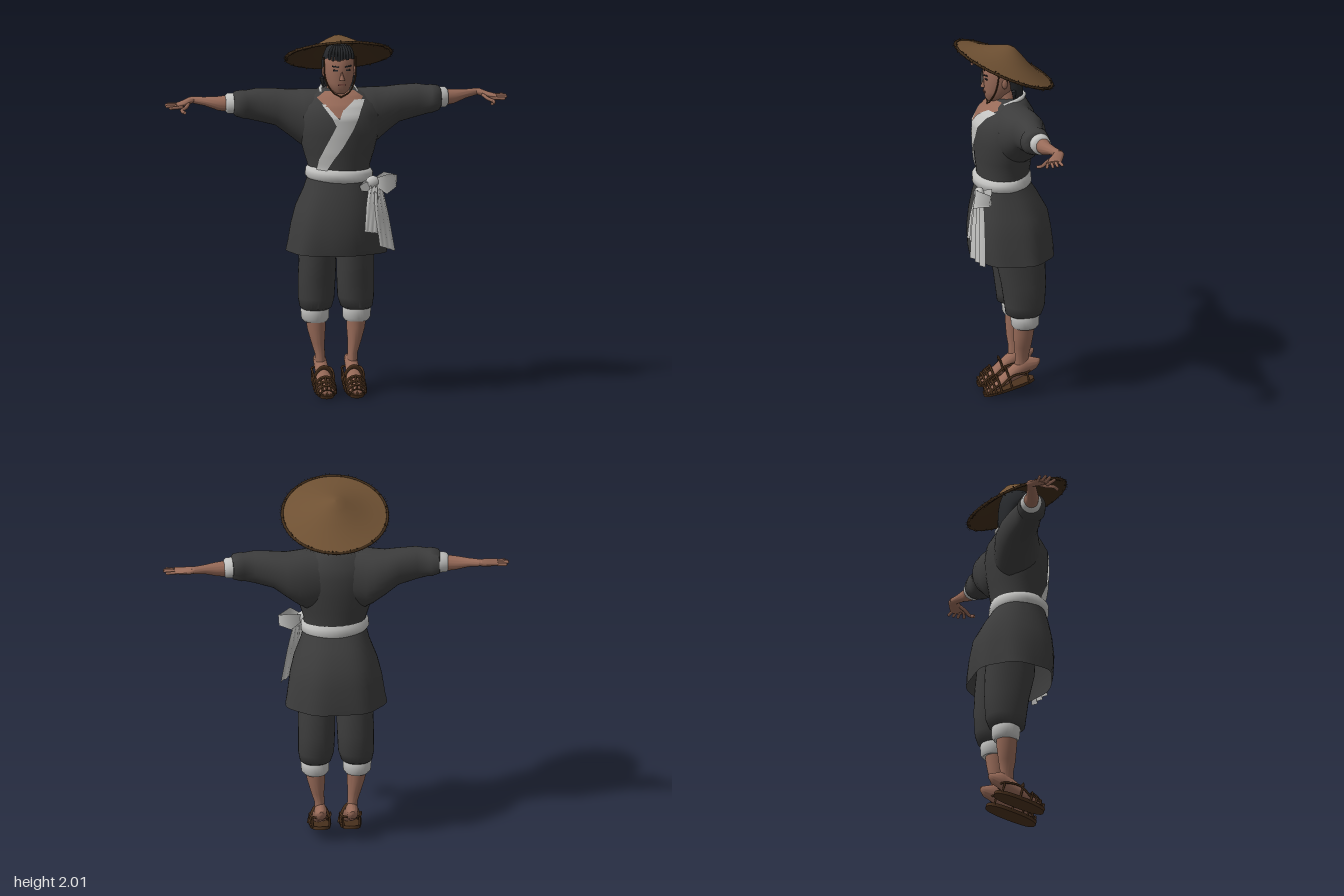
import * as THREE from 'three';
import { mergeGeometries, toCreasedNormals } from 'three/addons/utils/BufferGeometryUtils.js';

const V = (x, y, z) => new THREE.Vector3(x, y, z);
const mat = (name, color, side = THREE.FrontSide) => {
  const m = new THREE.MeshStandardMaterial({ color, side });
  m.name = name;
  return m;
};

// Closed skin over elliptical sections [t, uMin, uMax, vMin, vMax] along an axis.
const PLANES = { x: ['y', 'z'], y: ['z', 'x'], z: ['x', 'y'] };
function loft(axis, rows, { p = 1, ripple = 0, open = false, segs = 32 } = {}) {
  const secs = [...rows].sort((a, b) => a[0] - b[0]);
  const [u, v] = PLANES[axis], pos = [], idx = [], n = secs.length;
  const put = (t, a, b) => { const q = V(0, 0, 0); q[axis] = t; q[u] = a; q[v] = b; pos.push(q.x, q.y, q.z); };
  const pw = (c) => Math.sign(c) * Math.abs(c) ** p;
  secs.forEach(([t, u0, u1, v0, v1], i) => {
    for (let j = 0; j < segs; j++) {
      const a = (j / segs) * Math.PI * 2;
      const k = 1 + ripple * Math.sin(7 * a + 1) * (1 - i / (n - 1));
      put(t, (u0 + u1) / 2 + k * pw(Math.cos(a)) * (u1 - u0) / 2, (v0 + v1) / 2 + k * pw(Math.sin(a)) * (v1 - v0) / 2);
    }
  });
  for (let i = 0; i < n - 1; i++) for (let j = 0; j < segs; j++) {
    const a = i * segs + j, b = i * segs + (j + 1) % segs;
    idx.push(a, b, a + segs, b, b + segs, a + segs);
  }
  if (!open) for (const i of [0, n - 1]) {
    const [t, u0, u1, v0, v1] = secs[i], c = pos.length / 3;
    put(t, (u0 + u1) / 2, (v0 + v1) / 2);
    for (let j = 0; j < segs; j++) {
      const a = i * segs + j, b = i * segs + (j + 1) % segs;
      idx.push(c, ...(i ? [a, b] : [b, a]));
    }
  }
  const g = new THREE.BufferGeometry();
  g.setAttribute('position', new THREE.Float32BufferAttribute(pos, 3));
  g.setIndex(idx);
  return toCreasedNormals(g, 0.95);
}
// Upright loft from rows [y, centreX, halfWidth, zFront, zBack].
const upright = (rows, opt) => loft('y', rows.map(([y, cx, w, zf, zb]) => [y, zb, zf, cx - w, cx + w]), opt);

// Cloth strip between pairs of edge points; warp may move each point.
function strip(rows, across = 6, warp = (q) => q) {
  const pos = [], idx = [], w = across + 1;
  rows.forEach(([a, b]) => {
    for (let j = 0; j <= across; j++) pos.push(...warp(V(...a).lerp(V(...b), j / across), j).toArray());
  });
  for (let i = 0; i < rows.length - 1; i++) for (let j = 0; j < across; j++) {
    const a = i * w + j;
    idx.push(a, a + w, a + 1, a + 1, a + w, a + w + 1);
  }
  const g = new THREE.BufferGeometry();
  g.setAttribute('position', new THREE.Float32BufferAttribute(pos, 3));
  g.setIndex(idx);
  g.computeVertexNormals();
  return g;
}
const tube = (pts, r, n = 12) => new THREE.TubeGeometry(new THREE.CatmullRomCurve3(pts.map((q) => V(...q))), n, r, 6);

const TORSO = [[1.19, 0, 0.175, 0.15, -0.13], [1.28, 0, 0.17, 0.15, -0.14], [1.36, 0, 0.195, 0.16, -0.15],
  [1.46, 0, 0.22, 0.165, -0.165], [1.56, 0, 0.23, 0.165, -0.17], [1.62, 0, 0.21, 0.13, -0.16],
  [1.67, 0, 0.16, 0.08, -0.13], [1.70, 0, 0.09, 0.03, -0.11]];
// Chest surface depth at (x, y).
function chestZ(x, y) {
  let i = 0;
  while (i < TORSO.length - 2 && TORSO[i + 1][0] < y) i++;
  const a = TORSO[i], b = TORSO[i + 1], k = (y - a[0]) / (b[0] - a[0]);
  const [w, zf, zb] = [2, 3, 4].map((c) => a[c] + (b[c] - a[c]) * k);
  return (zf + zb) / 2 + (zf - zb) / 2 * Math.sqrt(Math.max(0, 1 - (x / w) ** 2));
}
// Thin cloth lying on the chest, rows [y, xLeft, xRight].
function chestPatch(rows, lift) {
  const fine = [];
  for (let i = 0; i < rows.length - 1; i++) for (let k = 0; k < 5; k++)
    fine.push(rows[i].map((c, m) => c + (rows[i + 1][m] - c) * k / 5));
  fine.push(rows.at(-1));
  return strip(fine.map(([y, a, b]) => [[a, y, 0], [b, y, 0]]), 10, (q) => q.setZ(chestZ(q.x, q.y) + lift));
}

export function createModel() {
  const model = new THREE.Group();
  model.name = 'travellerFigure';
  const D = THREE.DoubleSide;
  const cloth = mat('charcoalCloth', 0x3c3c3c, D), linen = mat('paleLinen', 0xc2c2c0, D), skin = mat('skin', 0x976a58, D),
    hair = mat('blackHair', 0x26282b), straw = mat('straw', 0x6f5133), strawDark = mat('darkStraw', 0x3f2c19, D),
    leather = mat('sandalBrown', 0x4a311d, D), lip = mat('lipBrown', 0x784a40);
  const add = (parent, name, geo, m, pos = [0, 0, 0], rot = [0, 0, 0]) => {
    const mesh = new THREE.Mesh(geo, m);
    mesh.name = name;
    mesh.position.set(...pos);
    mesh.rotation.set(...rot);
    parent.add(mesh);
    return mesh;
  };

  // Jacket body, skirt and neckline
  add(model, 'jacketBody', upright(TORSO), cloth);
  add(model, 'jacketSkirt', upright([[1.24, 0, 0.165, 0.14, -0.12], [1.15, 0, 0.188, 0.17, -0.18], [1.05, 0, 0.228, 0.19, -0.235],
    [0.95, 0, 0.252, 0.2, -0.252], [0.85, 0, 0.266, 0.195, -0.262], [0.8, 0, 0.275, 0.185, -0.262]],
  { p: 0.88, ripple: 0.025, open: true, segs: 56 }), cloth);
  add(model, 'bareChest', chestPatch([[1.69, -0.08, 0.08], [1.66, -0.13, 0.125], [1.62, -0.09, 0.08], [1.56, -0.035, 0.03]], 0.005), skin);
  add(model, 'innerCollar', chestPatch([[1.63, -0.11, -0.09], [1.56, -0.06, -0.03], [1.52, -0.04, 0.02]], 0.006), linen);
  add(model, 'lapel', chestPatch([[1.65, 0.07, 0.135], [1.6, 0.0, 0.105], [1.5, -0.05, 0.06], [1.4, -0.1, 0.0],
    [1.33, -0.13, -0.05], [1.26, -0.14, -0.09]], 0.009), linen);
  add(model, 'backCollar', tube([[-0.1, 1.675, 0.02], [-0.08, 1.7, -0.07], [0, 1.705, -0.11], [0.08, 1.7, -0.07], [0.1, 1.675, 0.02]], 0.013, 20), linen);

  // Sash, knot, bow and tails
  add(model, 'sash', upright([[0.035, 0, 0.168, 0.155, -0.14], [0.015, 0, 0.184, 0.172, -0.148], [-0.02, 0, 0.186, 0.172, -0.15],
    [-0.036, 0, 0.172, 0.155, -0.14]], { segs: 40 }), linen, [0, 1.238, 0], [0.04, 0, -0.06]);
  add(model, 'sashKnot', new THREE.SphereGeometry(0.035, 14, 10), linen, [0.16, 1.205, 0.17]).scale.set(1.1, 1, 0.8);
  const loop = strip([[[0, -0.02, 0], [0, 0.02, 0]], [[0.06, -0.06, 0.045], [0.06, 0.045, 0.03]], [[0.125, -0.035, -0.03], [0.13, 0.03, -0.04]],
    [[0.06, -0.05, -0.06], [0.06, 0.045, -0.06]], [[0, -0.02, -0.02], [0, 0.02, -0.02]]]);
  add(model, 'bowLoop', loop, linen, [0.17, 1.205, 0.175]);
  add(model, 'smallBowLoop', loop, linen, [0.16, 1.195, 0.17], [0, 0, 3.6]).scale.setScalar(0.55);
  const pleat = (q, j) => q.setZ(q.z + (j % 2 ? 0.012 : -0.008));
  add(model, 'shortTail', strip([[[0.14, 1.2, 0.18], [0.19, 1.2, 0.18]], [[0.12, 1.08, 0.205], [0.19, 1.08, 0.195]],
    [[0.108, 0.94, 0.222], [0.19, 0.925, 0.2]]], 6, pleat), linen);
  add(model, 'longTail', strip([[[0.16, 1.2, 0.185], [0.21, 1.2, 0.165]], [[0.17, 1.02, 0.215], [0.25, 1.02, 0.165]],
    [[0.19, 0.86, 0.23], [0.285, 0.82, 0.17]]], 6, pleat), linen);

  // Neck, head and face
  const head = new THREE.Group();
  head.name = 'head';
  model.add(head);
  add(head, 'neck', upright([[1.6, 0, 0.08, 0.06, -0.1], [1.67, 0, 0.068, 0.045, -0.085], [1.76, 0, 0.052, 0.045, -0.06]]), skin);
  add(head, 'face', upright([[1.682, 0, 0.025, 0.092, 0.03], [1.7, 0, 0.05, 0.103, 0], [1.74, 0, 0.07, 0.11, -0.05], [1.79, 0, 0.08, 0.112, -0.07],
    [1.84, 0, 0.082, 0.115, -0.08], [1.89, 0, 0.078, 0.103, -0.08], [1.93, 0, 0.055, 0.07, -0.06]]), skin);
  const nose = add(head, 'nose', new THREE.ConeGeometry(0.016, 0.055, 8), skin, [0, 1.788, 0.113], [-0.12, 0, 0]);
  nose.scale.z = 0.9;
  add(head, 'mouth', new THREE.BoxGeometry(0.042, 0.009, 0.008), lip, [0, 1.736, 0.109]);
  for (const s of [-1, 1]) {
    add(head, 'eye', new THREE.BoxGeometry(0.026, 0.008, 0.006), hair, [s * 0.034, 1.815, 0.106], [0, s * 0.3, 0]);
    add(head, 'eyebrow', new THREE.BoxGeometry(0.036, 0.007, 0.006), hair, [s * 0.035, 1.836, 0.108], [0, s * 0.3, s * 0.12]);
    add(head, 'ear', new THREE.SphereGeometry(0.02, 10, 8), skin, [s * 0.084, 1.795, 0.012]).scale.set(0.5, 1.4, 0.8);
    add(head, 'chinStrap', tube([[s * 0.088, 1.88, 0.04], [s * 0.082, 1.76, 0.06], [s * 0.045, 1.69, 0.085], [0, 1.665, 0.09]], 0.004), leather);
    add(head, 'strapEnd', tube([[0, 1.668, 0.09], [s * 0.012, 1.64, 0.095], [s * 0.006, 1.6, 0.125]], 0.004), leather);
  }

  // Hair cap with combed and loose strands
  add(head, 'hairCap', upright([[1.68, 0, 0.05, -0.05, -0.095], [1.72, 0, 0.072, -0.03, -0.105], [1.78, 0, 0.086, -0.005, -0.102],
    [1.84, 0, 0.089, 0.035, -0.1], [1.875, 0, 0.087, 0.1, -0.095], [1.92, 0, 0.072, 0.108, -0.08], [1.95, 0, 0.03, 0.06, -0.03]]), hair);
  for (let i = -4; i <= 4; i++) {
    add(head, 'frontStrand', tube([[i * 0.016, 1.872 + (i % 2) * 0.006, 0.113 - i * i * 0.0021], [i * 0.015, 1.915, 0.112 - i * i * 0.002],
      [i * 0.01, 1.945, 0.07]], 0.008, 6), hair);
    add(head, 'looseStrand', new THREE.ConeGeometry(0.013, 0.11 + (i & 1) * 0.03, 5), hair,
      [i * 0.019, 1.7, -0.1 + i * i * 0.0035], [Math.PI + 0.15, 0, i * 0.05]);
  }

  // Tilted conical hat with frayed rim
  const hat = new THREE.Group();
  hat.name = 'strawHat';
  hat.position.set(0, 1.88, 0);
  hat.rotation.x = -0.42;
  model.add(hat);
  const cone = [[0.288, 0], [0.21, 0.022], [0.13, 0.055], [0.06, 0.092], [0.025, 0.108], [0, 0.112]].map(([r, y]) => new THREE.Vector2(r, y));
  add(hat, 'hatTop', new THREE.LatheGeometry(cone, 56), straw);
  add(hat, 'hatUnderside', new THREE.LatheGeometry(cone.map((q) => new THREE.Vector2(q.x, q.y - 0.007)), 56), strawDark);
  add(hat, 'hatRim', new THREE.TorusGeometry(0.287, 0.008, 6, 64), strawDark, [0, 0, 0], [Math.PI / 2, 0, 0]);
  const fray = [];
  for (let i = 0; i < 90; i++) {
    const g = new THREE.ConeGeometry(0.004, 0.03, 4);
    g.rotateZ(-Math.PI / 2 + 0.8 * Math.sin(i * 5.3)).translate(0.292, 0.004 * Math.sin(i * 2.7), 0).rotateY(i * Math.PI / 45);
    fray.push(g);
  }
  add(hat, 'frayedStraw', mergeGeometries(fray), strawDark);

  // Limbs: built for the left side, then mirrored
  for (const s of [1, -1]) {
    const side = new THREE.Group();
    side.name = s > 0 ? 'leftLimbs' : 'rightLimbs';
    side.scale.x = s;
    model.add(side);

    // Sleeve, turned cuff, arm and hand
    add(side, 'sleeve', loft('x', [[0.06, 1.38, 1.69, -0.15, 0.08], [0.16, 1.36, 1.692, -0.17, 0.09], [0.2, 1.385, 1.69, -0.178, 0.075], [0.27, 1.44, 1.688, -0.175, 0.045],
      [0.34, 1.493, 1.695, -0.155, 0.025], [0.44, 1.52, 1.7, -0.132, 0.015], [0.5, 1.535, 1.69, -0.128, 0.01], [0.515, 1.535, 1.692, -0.14, 0.018],
      [0.56, 1.55, 1.685, -0.138, 0.008], [0.57, 1.565, 1.67, -0.12, -0.01]], { p: 0.92 }), cloth);
    add(side, 'sleeveCuff', loft('x', [[0.55, 1.56, 1.675, -0.135, -0.02], [0.6, 1.562, 1.672, -0.135, -0.025], [0.612, 1.575, 1.66, -0.125, -0.035]]), linen);
    add(side, 'forearm', loft('x', [[0.57, 1.567, 1.663, -0.128, -0.042], [0.65, 1.578, 1.655, -0.128, -0.055], [0.72, 1.602, 1.65, -0.142, -0.085],
      [0.79, 1.615, 1.65, -0.162, -0.115]]), skin);
    add(side, 'palm', loft('x', [[0.775, 1.617, 1.65, -0.162, -0.112], [0.8, 1.61, 1.648, -0.164, -0.1], [0.84, 1.604, 1.634, -0.148, -0.068], [0.88, 1.603, 1.624, -0.13, -0.052]]), skin);
    [[-0.12, 0.915, -0.126, 1.612], [-0.1, 0.937, -0.097, 1.614], [-0.08, 0.936, -0.072, 1.606], [-0.06, 0.91, -0.045, 1.596]].forEach(([z, x, z2, y]) =>
      add(side, 'finger', new THREE.CapsuleGeometry(0.0085, 0.07, 3, 8), skin, [(0.86 + x) / 2, (1.614 + y) / 2, (z + z2) / 2],
        [0, -Math.atan2(z2 - z, x - 0.86), -Math.PI / 2]));
    add(side, 'thumb', tube([[0.81, 1.62, -0.1], [0.83, 1.605, -0.06], [0.86, 1.592, -0.025], [0.845, 1.585, -0.004]], 0.01), skin);

    // Trouser leg, rolled hem, shin and lifted foot
    add(side, 'trouserLeg', upright([[1.05, 0.1, 0.1, 0.08, -0.18], [0.8, 0.103, 0.1, 0.068, -0.205], [0.65, 0.106, 0.101, 0.035, -0.21],
      [0.53, 0.109, 0.098, 0.018, -0.202], [0.48, 0.112, 0.086, 0.012, -0.185], [0.468, 0.115, 0.07, -0.01, -0.165]], { p: 0.9 }), cloth);
    add(side, 'rolledHem', upright([[0.49, 0.114, 0.07, -0.018, -0.165], [0.46, 0.115, 0.078, -0.014, -0.172], [0.415, 0.114, 0.075, -0.018, -0.17],
      [0.398, 0.113, 0.062, -0.028, -0.158]]), linen);
    add(side, 'shin', upright([[0.45, 0.113, 0.055, -0.03, -0.148], [0.36, 0.109, 0.05, -0.032, -0.142], [0.28, 0.1, 0.036, -0.036, -0.13],
      [0.22, 0.09, 0.027, -0.045, -0.118], [0.15, 0.085, 0.03, -0.04, -0.13]]), skin);
    add(side, 'foot', loft('z', [[-0.182, 0.075, 0.095, 0.175, 0.2], [-0.16, 0.055, 0.115, 0.145, 0.205], [-0.1, 0.05, 0.12, 0.11, 0.222], [-0.03, 0.046, 0.122, 0.08, 0.17],
      [0.04, 0.038, 0.126, 0.045, 0.105], [0.1, 0.04, 0.125, 0.028, 0.065], [0.122, 0.055, 0.11, 0.026, 0.045]]), skin);

    // Woven sandal, sloping down to the toe
    const sandal = new THREE.Group();
    sandal.name = 'sandal';
    sandal.position.set(0.083, 0.05, -0.01);
    sandal.rotation.x = 0.27;
    side.add(sandal);
    add(sandal, 'sole', loft('y', [[-0.008, -0.145, 0.145, -0.055, 0.055], [0.01, -0.146, 0.146, -0.06, 0.06]], { p: 0.75 }), leather);
    [[0.128, 0.04, 0.035], [0.105, 0.052, 0.05], [0.08, 0.056, 0.062], [0.05, 0.058, 0.075], [-0.01, 0.055, 0.105]].forEach(([z, w, h]) =>
      add(sandal, 'crossStrap', new THREE.TorusGeometry(1, 0.13, 5, 16, Math.PI), leather, [0, 0.005, z]).scale.set(w, h, 0.05));
    for (const k of [-1, -0.5, 0, 0.5, 1]) add(sandal, 'lengthStrap',
      tube([[k * 0.045, 0.01, 0.138 - k * k * 0.015], [k * 0.05, 0.062 - k * k * 0.03, 0.09], [k * 0.05, 0.082 - k * k * 0.035, 0.045]], 0.006, 8), leather);
    for (const k of [-1, 1]) add(sandal, 'sideStrap',
      tube([[k * 0.052, 0.03, 0.05], [k * 0.056, 0.07, -0.03], [k * 0.045, 0.06, -0.115], [0, 0.055, -0.142]], 0.006), leather);
    for (const k of [-1, 1]) add(sandal, 'heelPost', tube([[k * 0.045, 0, -0.11], [k * 0.046, 0.06, -0.112]], 0.006, 4), leather);
  }
  return model;
}
